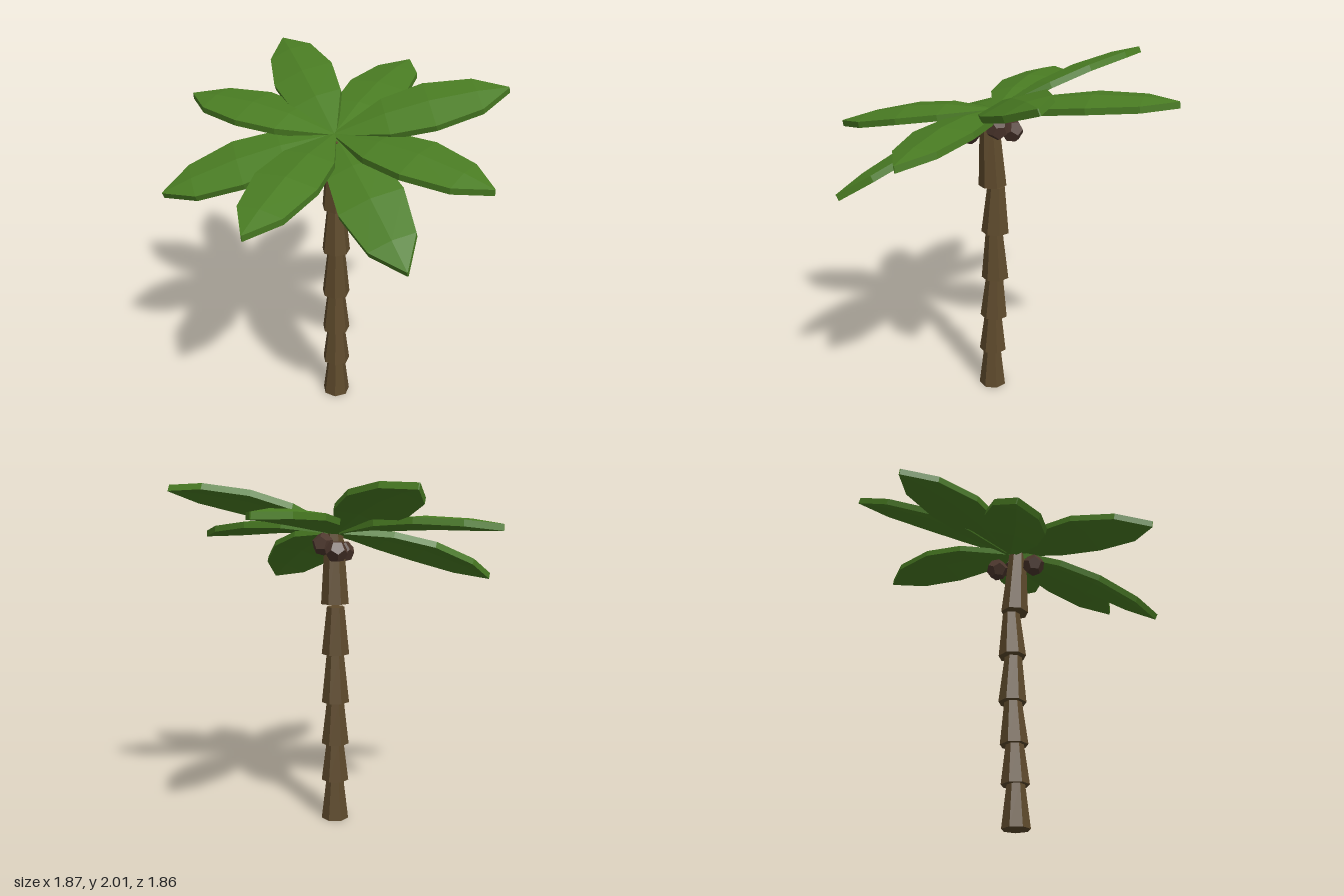
import * as THREE from 'three';

const bark = new THREE.MeshStandardMaterial({ color: 0x5e4a2c, flatShading: true });
const leaf = new THREE.MeshStandardMaterial({ color: 0x4a7d23, flatShading: true });
const nut = new THREE.MeshStandardMaterial({ color: 0x4d372d, flatShading: true });

// Position along the frond and half width there
const STATIONS = [[0, 0.012], [0.3, 0.147], [0.55, 0.178], [0.82, 0.128], [1, 0.003]];
const THICKNESS = 0.036;

// A thick, arched leaf blade with a raised midrib, from base to tip
function frondGeometry(base, tip, normal) {
  const dir = tip.clone().sub(base).normalize();
  const side = normal.clone().cross(dir).normalize();
  const up = dir.clone().cross(side);
  const pos = [], idx = [];
  for (const [t, w] of STATIONS) {
    const mid = base.clone().lerp(tip, t).addScaledVector(up, 0.22 * t * (1 - t));
    const sag = -0.14 * w;
    const ring = [
      [w, sag], [0, 0], [-w, sag],
      [-w, sag - THICKNESS], [0, -THICKNESS], [w, sag - THICKNESS],
    ];
    for (const [s, h] of ring) {
      pos.push(...mid.clone().addScaledVector(side, s).addScaledVector(up, h).toArray());
    }
  }
  const last = (STATIONS.length - 1) * 6;
  for (let r = 0; r < last; r += 6) {
    for (let j = 0; j < 6; j++) {
      const k = (j + 1) % 6;
      idx.push(r + j, r + k, r + 6 + k, r + j, r + 6 + k, r + 6 + j);
    }
  }
  for (let j = 1; j < 5; j++) {
    idx.push(last, last + j, last + j + 1, 0, j + 1, j);
  }
  const g = new THREE.BufferGeometry();
  g.setAttribute('position', new THREE.Float32BufferAttribute(pos, 3));
  g.setIndex(idx);
  g.computeVertexNormals();
  return g;
}

export function createModel() {
  const model = new THREE.Group();
  model.name = 'palmTree';

  // Trunk: stacked tapering seven-sided segments [bottom y, top y, z, lean]
  const trunk = new THREE.Group();
  trunk.name = 'trunk';
  const segments = [
    [0, 0.25, 0.024, 0], [0.245, 0.48, 0.021, -0.01], [0.475, 0.73, 0.015, -0.02],
    [0.73, 1.012, 0.006, 0.02], [1.02, 1.297, 0.006, -0.02], [1.31, 1.73, 0.02, 0.05],
  ];
  segments.forEach(([y0, y1, z, lean], i) => {
    const h = y1 - y0;
    const g = new THREE.CylinderGeometry(0.052, 0.082, h, 7, 1, false, Math.PI / 2);
    g.translate(0, h / 2, 0);
    const m = new THREE.Mesh(g, bark);
    m.name = `trunkSegment${i + 1}`;
    m.position.set(0.016, y0, z);
    m.rotation.x = lean;
    trunk.add(m);
  });
  model.add(trunk);

  // Fronds: two tilted rings of four, listed by tip position
  const fronds = new THREE.Group();
  fronds.name = 'fronds';
  const steep = new THREE.Vector3(-0.285, 1, 0.33);
  const gentle = new THREE.Vector3(-0.06, 1, 0.135);
  const tips = [
    [0.93, 1.985, 0.08, steep], [0.69, 1.70, 0.69, gentle],
    [0.22, 1.415, 0.92, steep], [-0.54, 1.595, 0.78, gentle],
    [-0.935, 1.465, 0.025, steep], [-0.74, 1.79, -0.61, gentle],
    [-0.18, 2.0, -0.925, steep], [0.59, 1.87, -0.8, gentle],
  ];
  const base = new THREE.Vector3(0.005, 1.745, 0.005);
  tips.forEach(([x, y, z, normal], i) => {
    const m = new THREE.Mesh(frondGeometry(base, new THREE.Vector3(x, y, z), normal), leaf);
    m.name = `frond${i + 1}`;
    fronds.add(m);
  });
  model.add(fronds);

  // Coconuts under the crown
  const coconuts = new THREE.Group();
  coconuts.name = 'coconuts';
  [[0.085, 1.655, 0.015], [-0.06, 1.6, 0.135], [0.03, 1.62, -0.085]].forEach((p, i) => {
    const m = new THREE.Mesh(new THREE.DodecahedronGeometry(0.066), nut);
    m.name = `coconut${i + 1}`;
    m.position.set(...p);
    m.rotation.set(i * 0.7, i * 1.3, 0.3);
    coconuts.add(m);
  });
  model.add(coconuts);

  return model;
}
